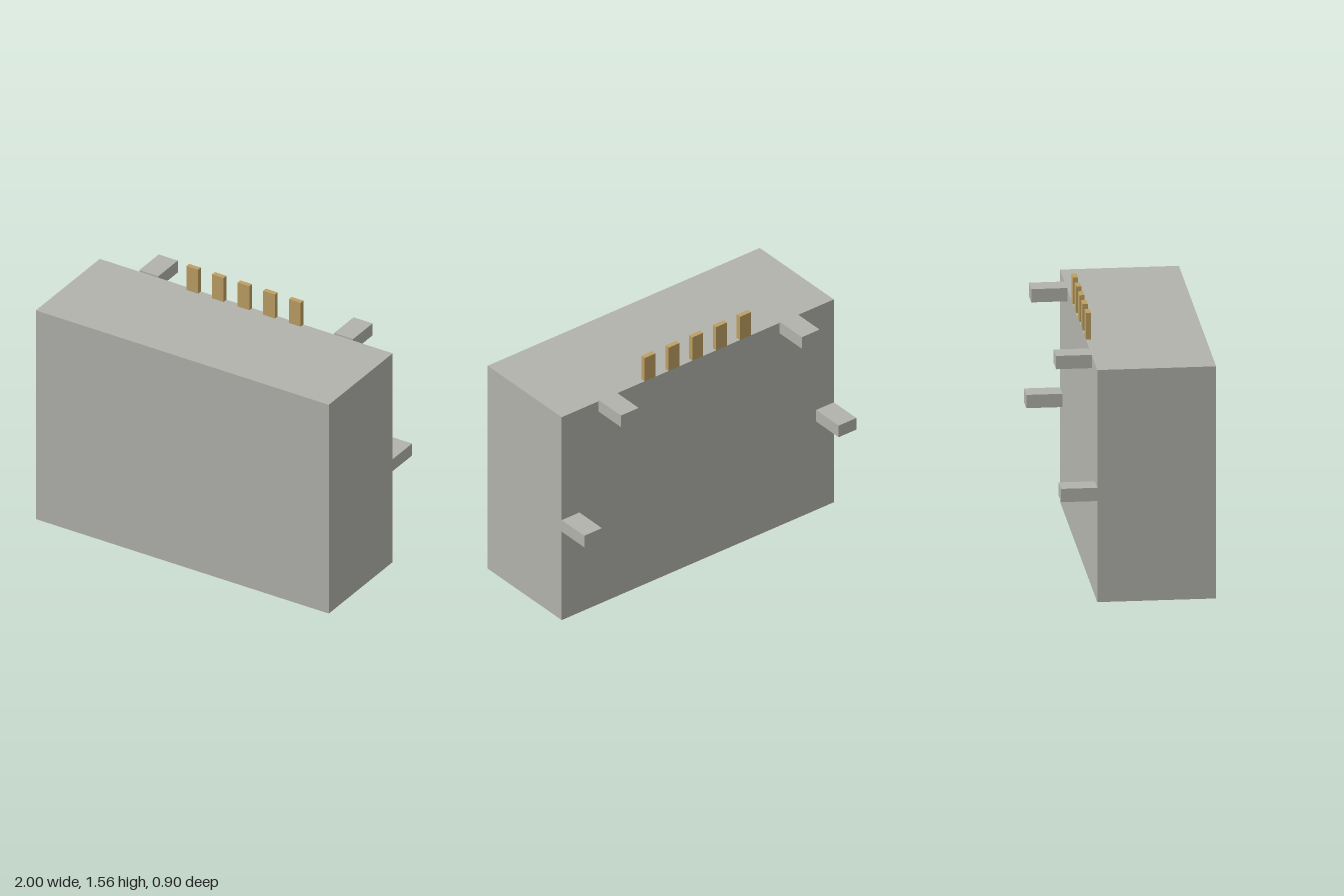
import * as THREE from 'three';

export function createModel() {
  const metal = new THREE.MeshStandardMaterial({ name: 'shell metal', color: 0xb2b3ac });
  const gold = new THREE.MeshStandardMaterial({ name: 'contact gold', color: 0xbd9f63 });
  const black = new THREE.MeshStandardMaterial({ name: 'black plastic', color: 0x1c1c1c });

  const model = new THREE.Group();
  model.name = 'socketConnector';

  // Box given by its lower and upper limits on each axis
  function box(name, material, [x0, x1], [y0, y1], [z0, z1], parent = model) {
    const mesh = new THREE.Mesh(new THREE.BoxGeometry(x1 - x0, y1 - y0, z1 - z0), material);
    mesh.position.set((x0 + x1) / 2, (y0 + y1) / 2, (z0 + z1) / 2);
    mesh.name = name;
    parent.add(mesh);
  }

  const height = 1.4, back = -0.24, front = 0.45, wall = 0.04;

  // Shell: hollow, open at the bottom, closed at the top
  const shell = new THREE.Group();
  shell.name = 'shell';
  model.add(shell);
  box('frontWall', metal, [-1, 1], [0, height], [front - wall, front], shell);
  box('backWall', metal, [-1, 1], [0, height], [back, back + wall], shell);
  for (const s of [-1, 1]) {
    const xs = [s, s * (1 - wall)].sort((a, b) => a - b);
    box('sideWall', metal, xs, [0, height], [back + wall, front - wall], shell);
  }
  box('roof', metal, [-1 + wall, 1 - wall], [height - wall, height], [back + wall, front - wall], shell);

  // Mounting legs on the back, mirrored left and right
  for (const s of [-1, 1]) {
    const span = (a, b) => (s > 0 ? [a, b] : [-b, -a]);
    box('upperLeg', metal, span(0.6, 0.73), [1.33, 1.41], [-0.45, back]);
    box('lowerLeg', metal, span(0.87, 1), [0.61, 0.69], [-0.45, back]);
  }

  // Tongue inside the opening
  box('tongue', black, [-0.48, 0.48], [0.13, height - wall], [0.05, 0.18]);

  // Contacts: strip on the tongue, link under the roof and tail above it
  for (let i = -2; i <= 2; i++) {
    const xs = [i * 0.175 - 0.04, i * 0.175 + 0.04];
    const pin = new THREE.Group();
    pin.name = 'contactPin';
    model.add(pin);
    box('contactStrip', gold, xs, [0.17, 1.33], [0.03, 0.05], pin);
    box('contactLink', gold, xs, [1.31, 1.33], [-0.2, 0.03], pin);
    box('contactTail', gold, xs, [height, 1.56], [back, -0.21], pin);
  }

  return model;
}
